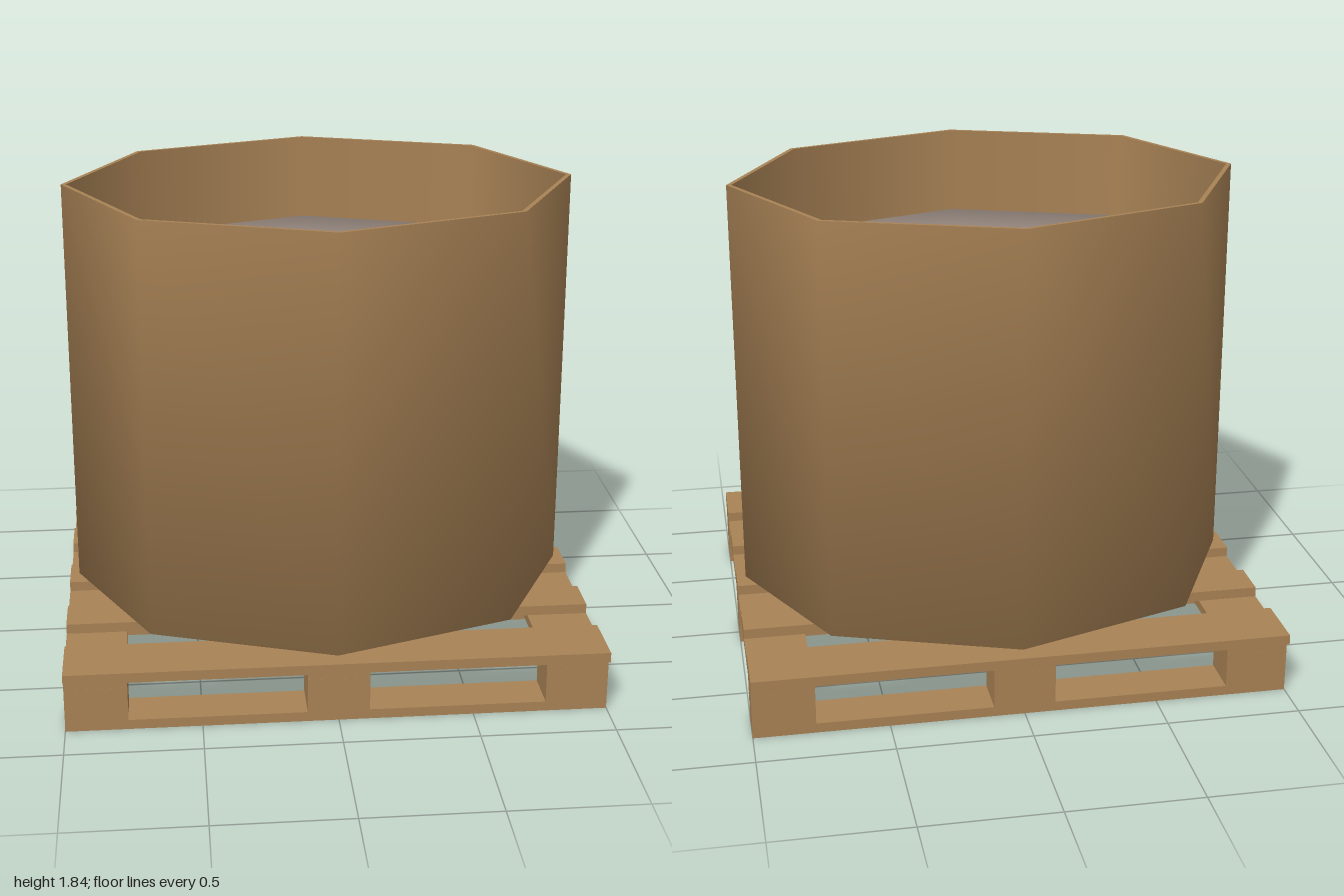
import * as THREE from 'three';

export function createModel() {
  const brown = new THREE.MeshStandardMaterial({ color: 0xa88255 });
  brown.name = 'kraftBrown';
  const grey = new THREE.MeshStandardMaterial({ color: 0xc0aea4 });
  grey.name = 'linerGrey';

  const model = new THREE.Group();
  model.name = 'octagonalBinOnPallet';

  // --- pallet: boards and blocks given by their extents ---
  const pallet = new THREE.Group();
  pallet.name = 'pallet';
  model.add(pallet);
  const board = (name, width, depth, y0, y1, x, z) => {
    const mesh = new THREE.Mesh(new THREE.BoxGeometry(width, y1 - y0, depth), brown);
    mesh.name = name;
    mesh.position.set(x, (y0 + y1) / 2, z);
    pallet.add(mesh);
  };
  const columns = [-0.885, 0, 0.885];
  const rows = [-0.753, 0, 0.753];

  // bottom runners and the blocks standing on them
  for (const z of rows) {
    board('bottomRunner', 2, 0.165, 0, 0.037, 0, z);
    for (const x of columns) board('block', 0.23, 0.165, 0.037, 0.17, x, z);
  }
  // cross boards joining the blocks front to back
  for (const x of columns) board('crossBoard', 0.23, 1.67, 0.17, 0.205, x, 0);
  // deck boards: wide at front and back, narrow between
  for (const [z, depth] of [[-0.75, 0.23], [-0.375, 0.163], [0, 0.163], [0.375, 0.163], [0.75, 0.23]])
    board('deckBoard', 2, depth, 0.205, 0.243, 0, z);

  // --- bin: eight-sided shells, stretched along x ---
  const bin = new THREE.Group();
  bin.name = 'bin';
  model.add(bin);
  const shell = (name, profile, material) => {
    const points = profile.map(([r, y]) => new THREE.Vector2(r, y));
    const geometry = new THREE.LatheGeometry(points, 8).scale(0.965, 1, 0.8);
    const mesh = new THREE.Mesh(geometry, material);
    mesh.name = name;
    bin.add(mesh);
  };
  const base = 0.245, top = 1.835, inner = 0.98;
  shell('outerWall', [[0, base], [1, base], [1, top]], brown);
  shell('rim', [[1, top], [inner, top]], brown);
  shell('innerWall', [[inner, top], [inner, 1.45]], brown);

  // filled liner, closed by a flat top below the rim
  shell('liner', [[0, 0.26], [inner - 0.002, 0.26], [inner - 0.002, 1.5], [0, 1.5]], grey);

  return model;
}
